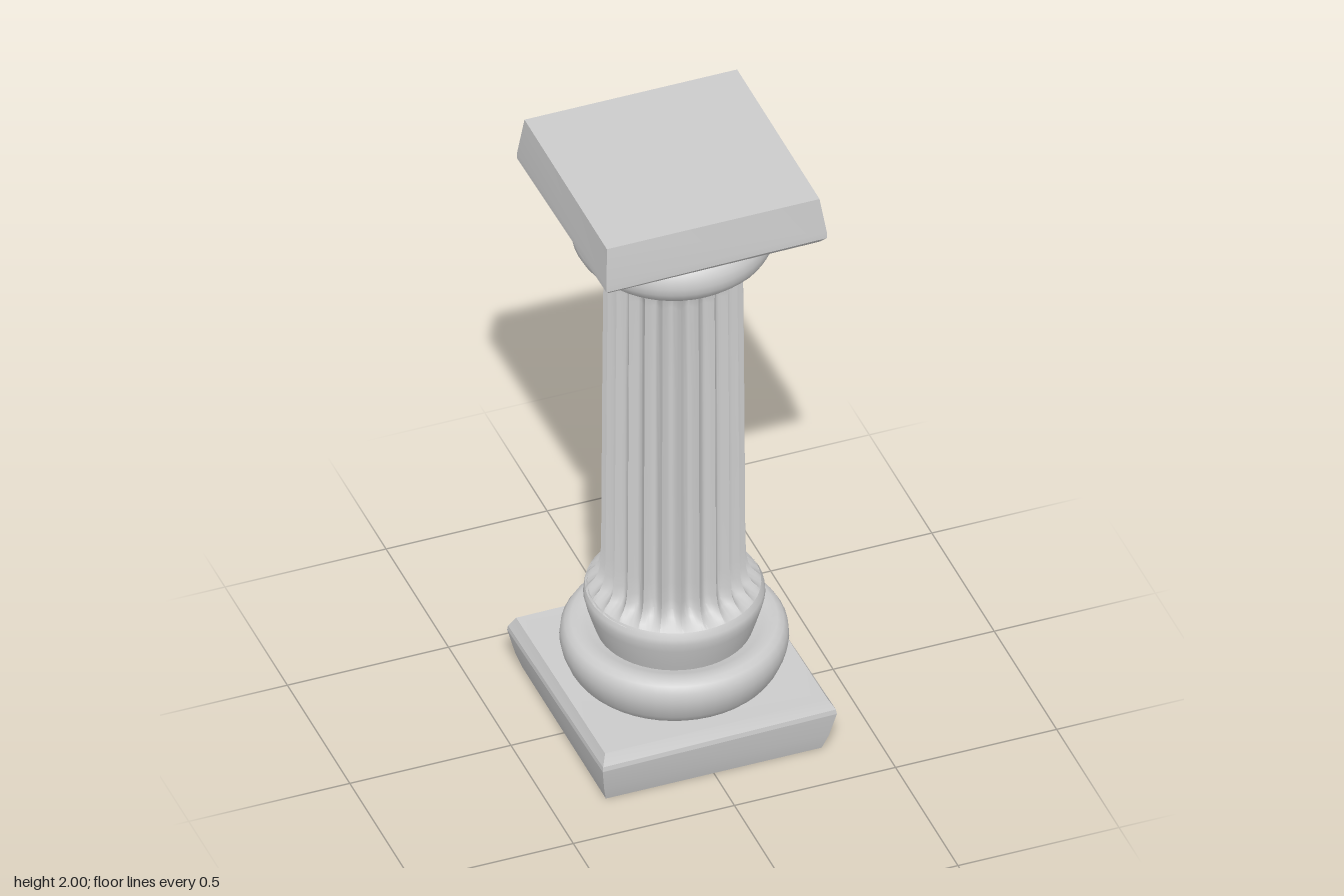
import * as THREE from 'three';
import { toCreasedNormals } from 'three/addons/utils/BufferGeometryUtils.js';

const material = new THREE.MeshStandardMaterial({ color: 0xcccccc });

// Lathe a list of [radius, y, extra] rows (bottom to top); adjust() may move each vertex by its row and column
function lathe(name, rows, segments, phi, crease, adjust) {
  const points = rows.map(([r, y]) => new THREE.Vector2(r, y));
  const geometry = new THREE.LatheGeometry(points, segments, phi);
  const pos = geometry.attributes.position;
  if (adjust) {
    const v = new THREE.Vector3();
    for (let k = 0; k < pos.count; k++) {
      v.fromBufferAttribute(pos, k);
      adjust(v, rows[k % rows.length], Math.floor(k / rows.length));
      pos.setXYZ(k, v.x, v.y, v.z);
    }
  }
  geometry.deleteAttribute('uv');
  const mesh = new THREE.Mesh(toCreasedNormals(geometry, crease), material);
  mesh.name = name;
  return mesh;
}

// Square slab from [half width, y, twist] rows
const up = new THREE.Vector3(0, 1, 0);
function slab(name, rows) {
  const corners = rows.map(([half, y, twist]) => [half * Math.SQRT2, y, twist]);
  return lathe(name, corners, 4, Math.PI / 4, 0.25, (v, row) => v.applyAxisAngle(up, row[2]));
}

export function createModel() {
  const group = new THREE.Group();

  // Square base and top slabs, their widest edges slightly twisted
  group.add(slab('plinth', [
    [0, 0, 0], [0.335, 0, 0], [0.35, 0.05, 0.008], [0.366, 0.13, 0.018],
    [0.364, 0.145, 0.018], [0.347, 0.178, 0.01], [0.28, 0.175, 0], [0, 0.175, 0],
  ]));
  group.add(slab('abacus', [
    [0, 1.845, 0], [0.3, 1.84, 0], [0.328, 1.84, 0.01], [0.344, 1.858, 0.016],
    [0.344, 1.88, 0.016], [0.33, 2, 0], [0, 2, 0],
  ]));

  // Round base moulding with a valley inside its upper lip
  const torus = lathe('baseTorus', [
    [0.28, 0.165], [0.3, 0.185], [0.313, 0.205], [0.327, 0.24], [0.333, 0.27], [0.33, 0.3],
    [0.318, 0.32], [0.3, 0.329], [0.275, 0.329], [0.255, 0.322], [0.22, 0.31],
  ], 48, 0, 0.7);

  // Flaring collar below the shaft
  const collar = lathe('baseCollar', [
    [0.225, 0.3], [0.237, 0.335], [0.245, 0.36], [0.257, 0.4], [0.264, 0.43],
    [0.262, 0.447], [0.252, 0.465],
  ], 48, 0, 0.7);
  for (const part of [torus, collar]) {
    part.position.set(0.005, 0, 0.005);
    group.add(part);
  }

  // Fluted shaft: rows are [ridge radius, y, flute depth]
  const flutes = 24, steps = 8;
  const shaft = lathe('flutedShaft', [
    [0.256, 0.458, 0], [0.244, 0.474, 0.012], [0.229, 0.49, 0.02], [0.219, 0.51, 0.024],
    [0.213, 0.54, 0.024], [0.21, 0.6, 0.023], [0.208, 0.95, 0.022], [0.206, 1.3, 0.022],
    [0.203, 1.6, 0.022], [0.204, 1.635, 0.022], [0.208, 1.65, 0.018], [0.217, 1.662, 0.009], [0.228, 1.668, 0],
  ], flutes * steps, 0, 0.6, (v, [r, , depth], column) => {
    const k = 1 - (depth / r) * Math.sin(Math.PI * ((column % steps) / steps));
    v.x *= k;
    v.z *= k;
  });
  shaft.position.set(0.003, 0, 0.002);
  group.add(shaft);

  // Rounded capital and neck below the top slab
  const capital = lathe('capital', [
    [0.19, 1.66], [0.228, 1.663], [0.255, 1.68], [0.282, 1.705], [0.294, 1.728], [0.297, 1.75],
    [0.294, 1.775], [0.28, 1.798], [0.255, 1.813], [0.225, 1.82], [0.205, 1.826],
    [0.212, 1.834], [0.225, 1.843],
  ], 48, 0, 0.7);
  capital.position.set(0.003, 0, 0.003);
  group.add(capital);

  return group;
}
